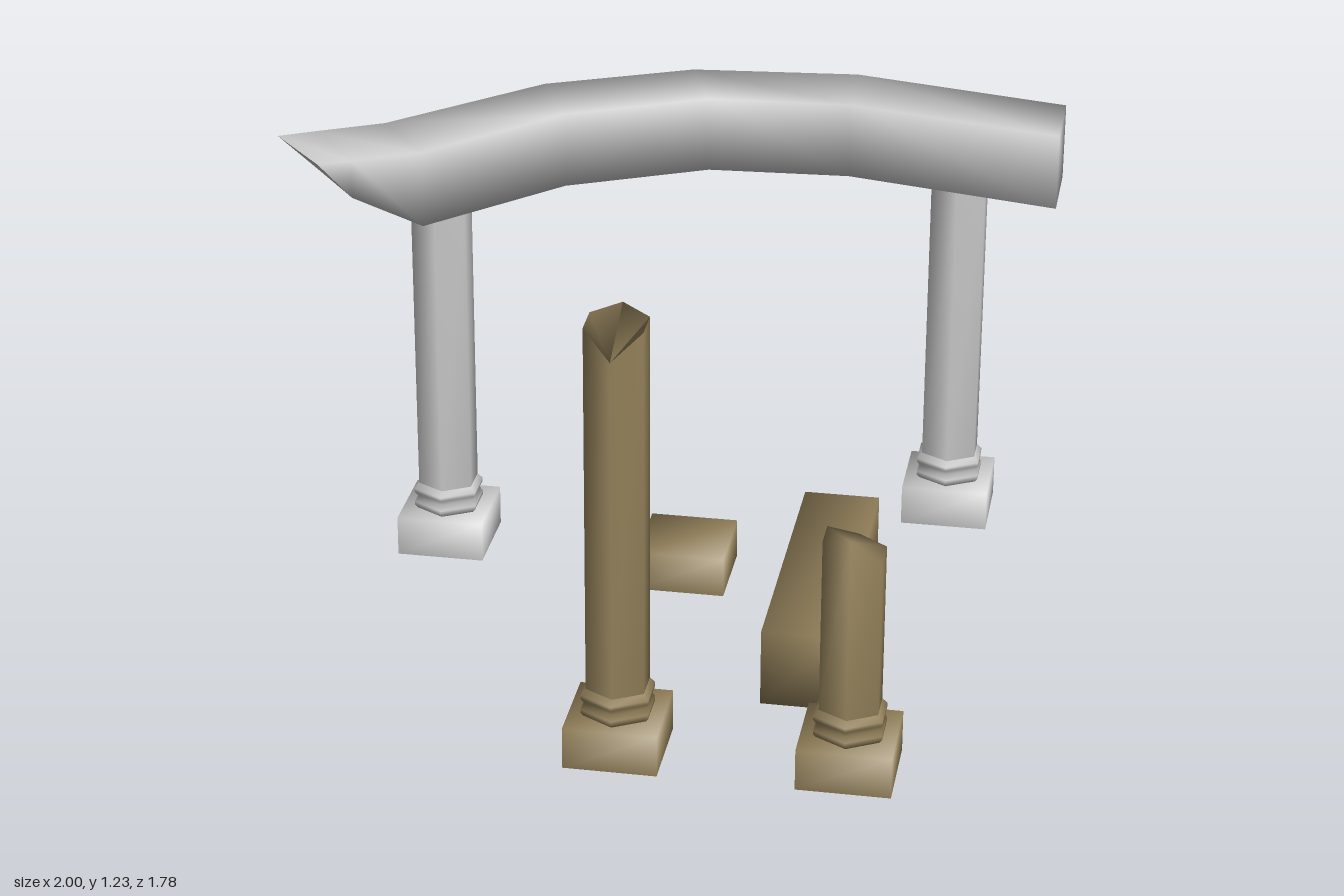
import * as THREE from 'three';

const stone = new THREE.MeshStandardMaterial({ color: 0xc6c6c6, side: THREE.DoubleSide });
stone.name = 'pale stone';
const sandstone = new THREE.MeshStandardMaterial({ color: 0x92805a, side: THREE.DoubleSide });
sandstone.name = 'weathered sandstone';

// Smooth skin through rings of [x, y, z] points, with optional end caps
function loft(name, rings, material, capStart = false, capEnd = false) {
  const n = rings[0].length, last = (rings.length - 1) * n, index = [];
  for (let i = 0; i < rings.length - 1; i++) {
    for (let j = 0; j < n; j++) {
      const k = (j + 1) % n, a = i * n + j, b = i * n + k;
      index.push(a, b, b + n, a, b + n, a + n);
    }
  }
  for (let j = 1; j < n - 1; j++) {
    if (capStart) index.push(0, j + 1, j);
    if (capEnd) index.push(last, last + j, last + j + 1);
  }
  const geometry = new THREE.BufferGeometry();
  geometry.setAttribute('position', new THREE.Float32BufferAttribute(rings.flat(2), 3));
  geometry.setIndex(index);
  geometry.computeVertexNormals();
  const mesh = new THREE.Mesh(geometry, material);
  mesh.name = name;
  return mesh;
}

// Rectangular ring, counter-clockwise from above
const rect = (w, d, y) => [[-w, y, d], [w, y, d], [w, y, -d], [-w, y, -d]];

// Six-sided ring with a corner facing the front; y may vary per corner
const hex = (r, y) => Array.from({ length: 6 }, (_, i) => {
  const t = i * Math.PI / 3;
  return [r * Math.sin(t), Array.isArray(y) ? y[i] : y, r * Math.cos(t)];
});

// Square plinth, hollow underneath
const plinth = (name, material) =>
  loft(name, [rect(0.118, 0.118, 0), rect(0.118, 0.118, 0.11)], material, false, true);

// Plinth, moulded collar and hexagonal shaft
function column(name, x, z, top, material) {
  const group = new THREE.Group();
  group.name = name;
  const collar = [[0.09, 0.11], [0.098, 0.12], [0.098, 0.13], [0.088, 0.145],
    [0.098, 0.16], [0.098, 0.17], [0.084, 0.185]];
  group.add(
    plinth('plinth', material),
    loft('collar', collar.map(([r, y]) => hex(r, y)), material),
    loft('shaft', [hex(0.084, 0.18), hex(0.084, top)], material, false, true)
  );
  group.position.set(x, 0, z);
  return group;
}

export function createModel() {
  const model = new THREE.Group();
  model.name = 'ruinedColonnade';

  // Standing columns, then broken ones
  model.add(
    column('rightColumn', -0.61, -0.265, 1.01, stone),
    column('leftColumn', 0.728, -0.697, 1.01, stone),
    column('tallBrokenColumn', 0.06, 0.77, [1.09, 1.155, 1.16, 1.175, 1.16, 1.155], sandstone),
    column('shortBrokenColumn', 0.638, 0.77, [0.673, 0.6, 0.603, 0.61, 0.645, 0.645], sandstone)
  );

  // Curved lintel: back x, z, front x, z, bottom y, top y
  const stations = [
    [-1, -0.09, -0.845, 0.09, 1.23, 1.23],
    [-0.92, -0.16, -0.773, 0.03, 1.12, 1.222],
    [-0.765, -0.295, -0.62, -0.1, 1, 1.205],
    [-0.41, -0.665, -0.31, -0.445, 1, 1.205],
    [-0.03, -0.85, 0.05, -0.63, 1, 1.205],
    [0.42, -0.89, 0.43, -0.65, 1, 1.205],
    [1, -0.75, 1, -0.515, 1, 1.205]
  ];
  model.add(loft('curvedLintel', stations.map(([bx, bz, fx, fz, lo, hi]) =>
    [[bx, lo, bz], [bx, hi, bz], [fx, hi, fz], [fx, lo, fz]]), stone, false, true));

  // Fallen beam and a loose plinth
  const beam = loft('fallenBeam', [rect(0.101, 0.4, 0), rect(0.101, 0.4, 0.207)], sandstone, true, true);
  beam.position.set(0.475, 0, 0.088);
  const loose = plinth('loosePlinth', sandstone);
  loose.position.set(0.072, 0, -0.18);
  model.add(beam, loose);

  return model;
}
